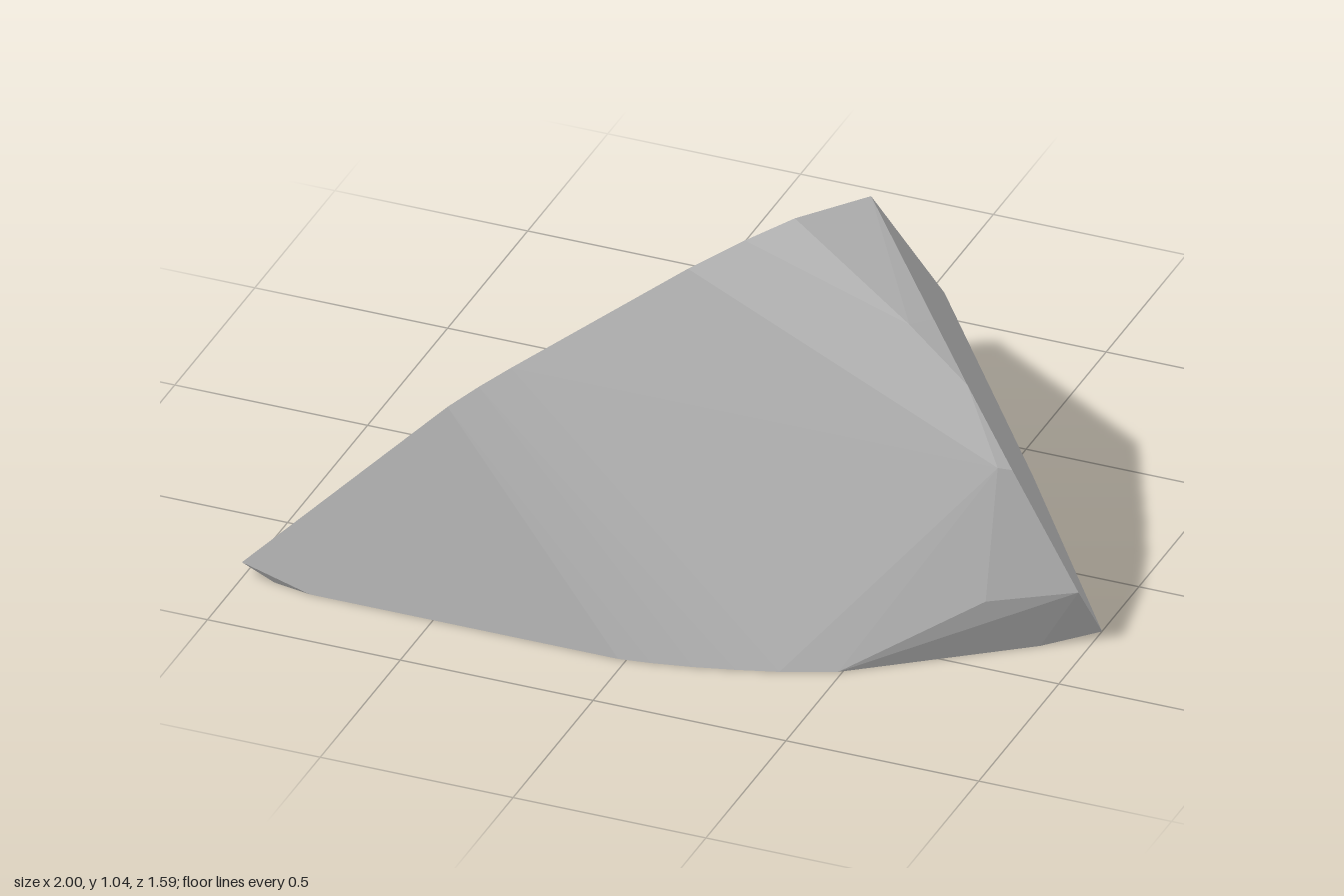
import * as THREE from 'three';
import { ConvexGeometry } from 'three/addons/geometries/ConvexGeometry.js';

// Points on the two large cleaved planes, given height and depth
const onSlope = ([y, z]) => new THREE.Vector3((-0.104 + 0.188 * y - 0.124 * z) / 0.194, y, z);
const onSide = ([y, z]) => new THREE.Vector3(0.838 - 0.564 * y + 0.705 * z, y, z);

export function createModel() {
  const group = new THREE.Group();
  group.name = 'rock';
  const stone = new THREE.MeshStandardMaterial({ color: 0xb8b8b8 });
  stone.name = 'grey stone';

  // Rim of the sloping back-left face
  const slopeRim = [
    [0, -0.79], [0.2, -0.795], [1.01, 0.13], [1.04, 0.345], [1.01, 0.44], [0.955, 0.53],
    [0.71, 0.74], [0.66, 0.773], [0.6, 0.795], [0.05, 0.795], [0.038, 0.775], [0, 0.71],
  ].map(onSlope);

  // Rim of the right-hand face
  const sideRim = [
    [0.8, 0.28], [0.68, 0.35], [0.49, 0.38], [0.17, 0.35], [0, 0.23], [0, -0.39],
  ].map(onSide);

  // Rounded front: ground arc and the bulge near the right corner
  const front = [
    [-0.92, 0, 0.775], [-0.82, 0, 0.795], [-0.02, 0, 0.795], [0.06, 0, 0.783], [0.16, 0, 0.762],
    [0.26, 0, 0.735], [0.36, 0, 0.704], [0.49, 0, 0.65], [0.89, 0, 0.35],
    [0.8, 0.17, 0.475], [0.8, 0.5, 0.4], [0.55, 0.815, 0.35],
  ].map((p) => new THREE.Vector3(...p));

  const body = new THREE.Mesh(new ConvexGeometry([...slopeRim, ...sideRim, ...front]), stone);
  body.name = 'rockBody';
  group.add(body);
  return group;
}
